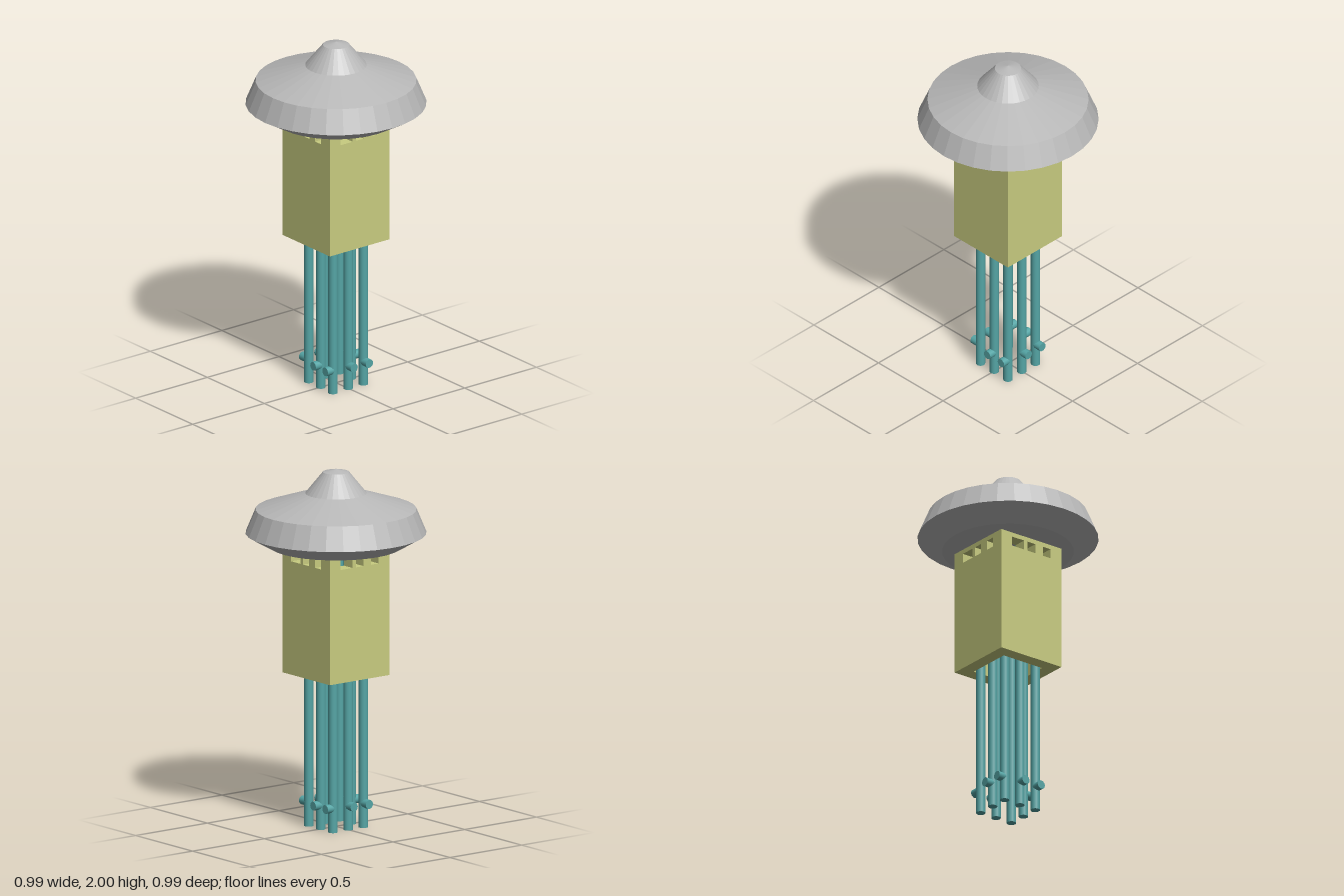
import * as THREE from 'three';

const capGrey = new THREE.MeshStandardMaterial({ color: 0xb8b8b8, flatShading: true });
capGrey.name = 'cap grey';
const bodyYellow = new THREE.MeshStandardMaterial({ color: 0xc8cc80, flatShading: true });
bodyYellow.name = 'body yellow';
const rodTeal = new THREE.MeshStandardMaterial({ color: 0x55a5a5 });
rodTeal.name = 'rod teal';

const OUTER = 0.208, INNER = 0.133, BOTTOM = 0.854, TOP = 1.58;
const ROD_X = 0.106, ROD_R = 0.026;

function add(parent, name, geometry, material, x = 0, y = 0, z = 0) {
  const mesh = new THREE.Mesh(geometry, material);
  mesh.name = name;
  mesh.position.set(x, y, z);
  parent.add(mesh);
  return mesh;
}

function rectangle(path, x0, y0, x1, y1) {
  path.moveTo(x0, y0);
  path.lineTo(x1, y0);
  path.lineTo(x1, y1);
  path.lineTo(x0, y1);
  path.closePath();
  return path;
}

// Thick wall with one wide and two narrow windows; four of them interlock as a square tube
function wallGeometry() {
  const shape = rectangle(new THREE.Shape(), -OUTER, BOTTOM, INNER, TOP);
  for (const [x0, x1] of [[-0.133, -0.05], [-0.027, 0.027], [0.079, 0.132]]) {
    shape.holes.push(rectangle(new THREE.Path(), x0, 1.488, x1, 1.542));
  }
  return new THREE.ExtrudeGeometry(shape, { depth: OUTER - INNER, bevelEnabled: false });
}

export function createModel() {
  const model = new THREE.Group();
  model.name = 'cappedRodTower';

  // Faceted cap with a closed underside
  const profile = [[0, 1.567], [0.36, 1.567], [0.495, 1.643], [0.44, 1.775],
    [0.168, 1.865], [0.072, 1.983], [0, 2]].map(([r, y]) => new THREE.Vector2(r, y));
  add(model, 'cap', new THREE.LatheGeometry(profile, 32), capGrey);

  const wall = wallGeometry();
  const rod = new THREE.CylinderGeometry(ROD_R, ROD_R, 1.57, 16);
  const stub = new THREE.CylinderGeometry(0.025, 0.025, 0.054, 16).rotateX(Math.PI / 2);

  // Each side carries a wall, a middle rod and a corner rod with outward stubs
  for (let i = 0; i < 4; i++) {
    const side = new THREE.Group();
    side.name = 'side' + (i + 1);
    side.rotation.y = i * Math.PI / 2;
    model.add(side);
    add(side, 'wall', wall, bodyYellow, 0, 0, INNER);
    for (const x of [0, ROD_X]) {
      add(side, 'rod', rod, rodTeal, x, 0.785, ROD_X);
      add(side, 'rodStub', stub, rodTeal, x, 0.135, 0.133);
    }
  }
  return model;
}
